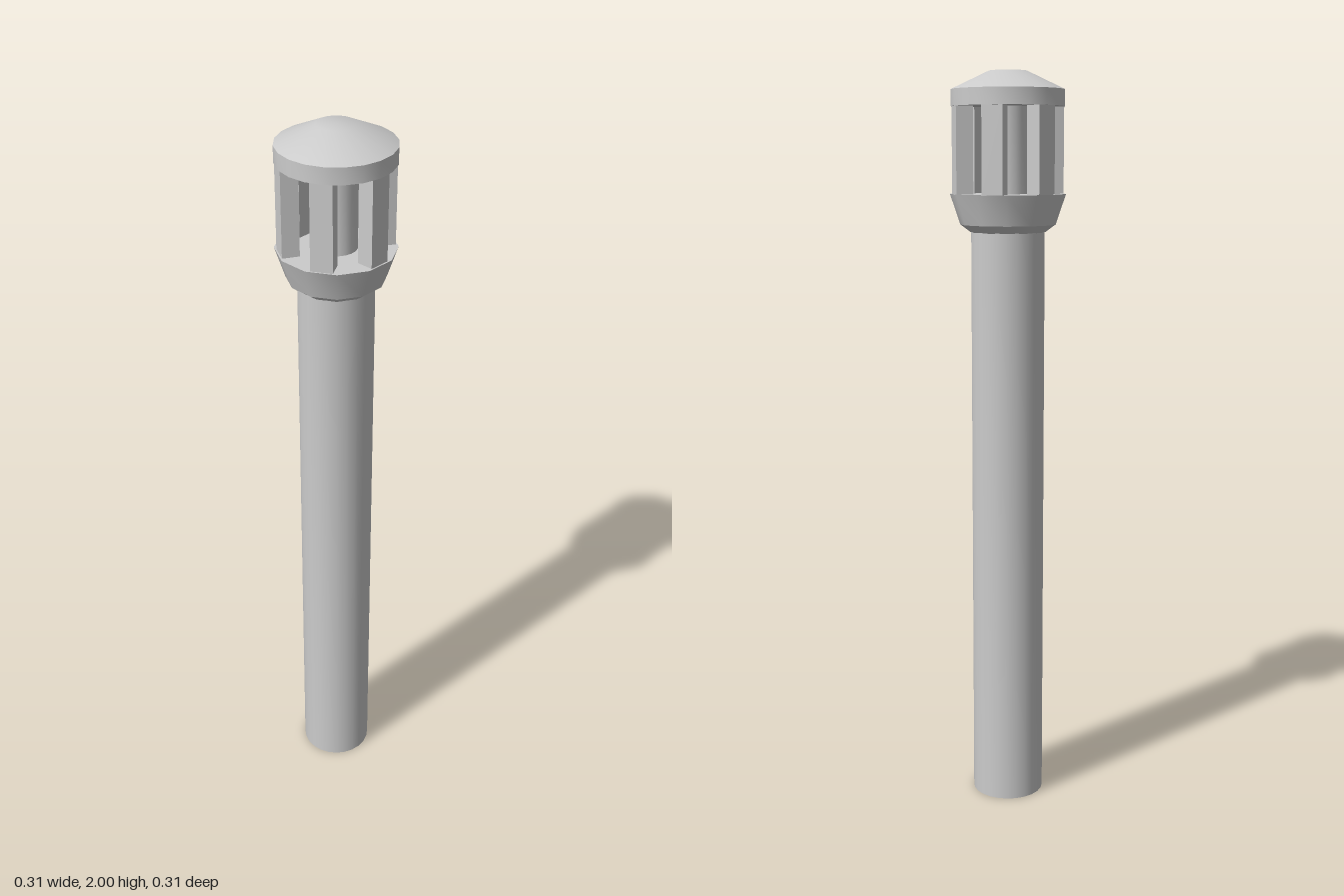
import * as THREE from 'three';
import { toCreasedNormals } from 'three/addons/utils/BufferGeometryUtils.js';

const material = new THREE.MeshStandardMaterial({ color: 0xcccccc });

// Closed solid of revolution from [radius, height] pairs, listed bottom to top
function turned(name, profile, sides) {
  const points = profile.map(([r, y]) => new THREE.Vector2(r, y));
  const geometry = toCreasedNormals(new THREE.LatheGeometry(points, sides), 0.53);
  const mesh = new THREE.Mesh(geometry, material);
  mesh.name = name;
  return mesh;
}

export function createModel() {
  const model = new THREE.Group();
  model.name = 'bollardLight';

  // Tall round post
  model.add(turned('post', [[0, 0], [0.098, 0], [0.098, 1.6], [0, 1.6]], 24));

  // Twelve-sided flared collar carrying the lamp cage
  model.add(turned('collar',
    [[0, 1.585], [0.1, 1.585], [0.127, 1.605], [0.154, 1.685], [0, 1.685]], 12));

  // Lamp tube in the middle of the cage
  model.add(turned('lampTube', [[0, 1.68], [0.054, 1.68], [0.054, 1.915], [0, 1.915]], 20));

  // Six upright cage bars
  const bars = new THREE.Group();
  bars.name = 'cageBars';
  const outer = 0.145, depth = 0.045;
  for (let i = 0; i < 6; i++) {
    const angle = Math.PI / 12 + i * Math.PI / 3;
    const bar = new THREE.Mesh(new THREE.BoxGeometry(0.056, 0.235, depth), material);
    const r = outer - depth / 2;
    bar.position.set(r * Math.sin(angle), 1.7975, r * Math.cos(angle));
    bar.rotation.y = angle;
    bar.name = 'cageBar';
    bars.add(bar);
  }
  model.add(bars);

  // Cap with a shallow domed top
  model.add(turned('cap',
    [[0, 1.91], [0.15, 1.91], [0.15, 1.953], [0.05, 2], [0, 2]], 20));

  return model;
}
